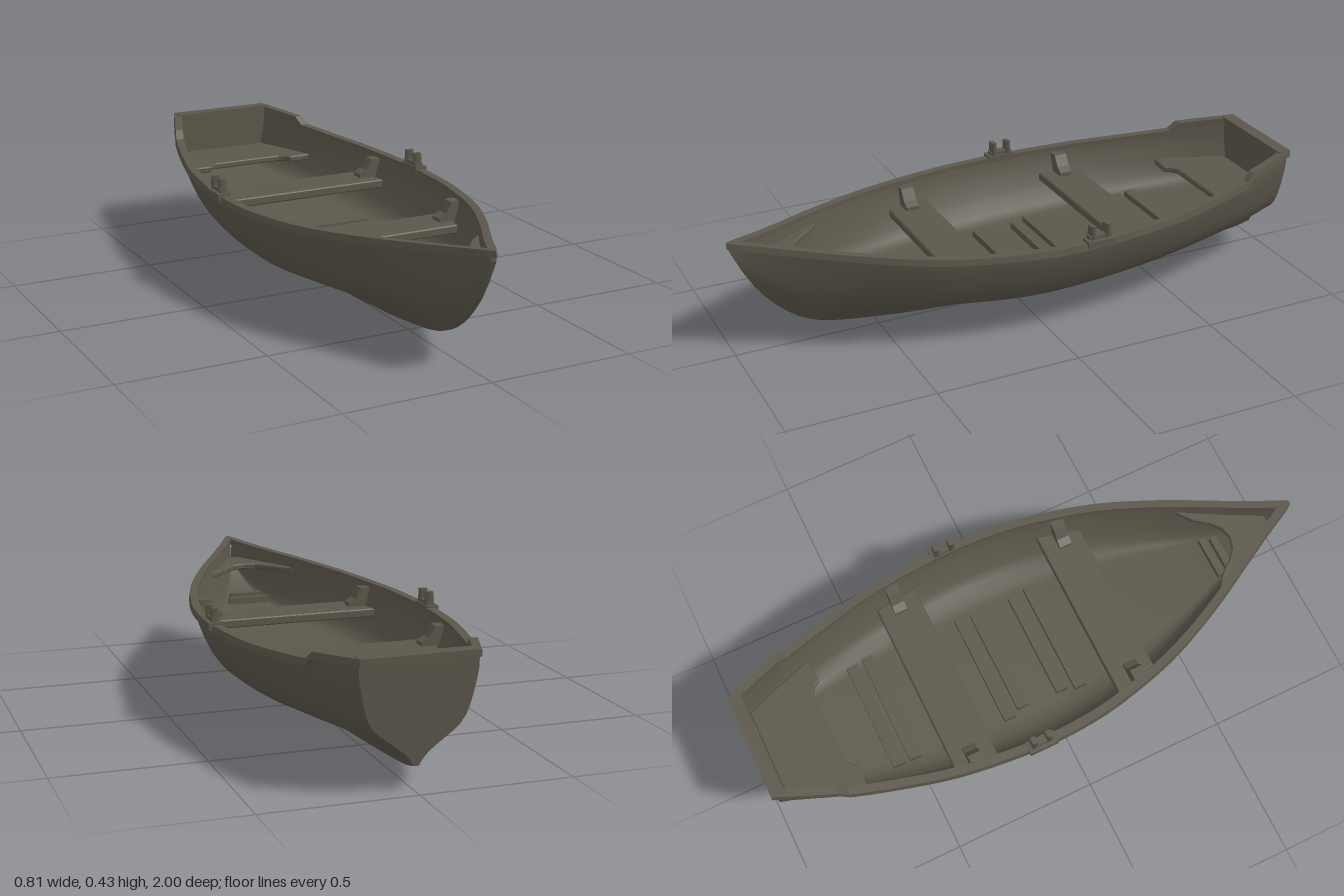
import * as THREE from 'three';
import { toCreasedNormals } from 'three/addons/utils/BufferGeometryUtils.js';

// Smooth interpolation through [z, value] pairs
function smooth(table, z) {
  const n = table.length;
  if (z <= table[0][0]) return table[0][1];
  if (z >= table[n - 1][0]) return table[n - 1][1];
  let i = 0;
  while (z > table[i + 1][0]) i++;
  const slope = (k) => {
    const a = table[Math.max(k - 1, 0)], b = table[Math.min(k + 1, n - 1)];
    return (b[1] - a[1]) / (b[0] - a[0]);
  };
  const [z0, v0] = table[i], [z1, v1] = table[i + 1];
  const d = z1 - z0, t = (z - z0) / d, t2 = t * t, t3 = t2 * t;
  return (2 * t3 - 3 * t2 + 1) * v0 + (t3 - 2 * t2 + t) * d * slope(i)
    + (3 * t2 - 2 * t3) * v1 + (t3 - t2) * d * slope(i + 1);
}

// Plan half-width, sheer and keel heights along the boat
const WIDTH = [[-1, 0.19], [-0.8, 0.268], [-0.6, 0.327], [-0.4, 0.372], [-0.13, 0.397], [0.05, 0.391],
  [0.2, 0.367], [0.4, 0.312], [0.6, 0.224], [0.8, 0.115], [0.9, 0.06], [0.96, 0.03], [0.985, 0.017], [1, 0.006]];
const SHEER = [[-1, 0.4], [-0.77, 0.378], [-0.5, 0.36], [-0.1, 0.348], [0.1, 0.348], [0.4, 0.358], [0.8, 0.389], [1, 0.41]];
const KEEL = [[-1, 0.085], [-0.97, 0.08], [-0.9, 0.065], [-0.5, 0.03], [0, 0], [0.3, 0.014], [0.5, 0.032],
  [0.7, 0.064], [0.8, 0.112], [0.9, 0.21], [0.97, 0.325], [0.99, 0.375]];
// Cross-section rule: [height, midship width, bow width]
const SECTION = [[1, 1, 1], [0.92, 0.99, 0.97], [0.82, 0.965, 0.935], [0.68, 0.915, 0.88], [0.56, 0.86, 0.81],
  [0.47, 0.8, 0.75], [0.38, 0.7, 0.67], [0.32, 0.58, 0.59], [0.26, 0.44, 0.5], [0.2, 0.3, 0.39],
  [0.13, 0.15, 0.26], [0.06, 0.05, 0.13], [0.02, 0.01, 0.04], [0, 0, 0]];
const FLOOR = 0.42;

const width = (z) => smooth(WIDTH, z);
const step = (z) => 0.025 * THREE.MathUtils.clamp((-0.77 - z) / 0.03, 0, 1);
const sheer = (z) => smooth(SHEER, z) + step(z);
const floorAt = (z) => THREE.MathUtils.lerp(smooth(KEEL, z), smooth(SHEER, z), FLOOR);
const stations = (from, to) => {
  const list = [from, -0.77, -0.8, to];
  for (let i = 0; i <= 60; i++) {
    const z = 0.985 - i * 0.0333;
    if (z < from - 0.004 && z > to + 0.005) list.push(z);
  }
  return list.sort((a, b) => b - a);
};

// Full section from left gunwale, under the keel, to right gunwale
function section(z, inner) {
  const keel = smooth(KEEL, z), h = smooth(SHEER, z) - 0.008 - keel;
  const w = Math.max(width(z) - 0.014, 0.01), k = Math.min(0.01, w);
  const bow = THREE.MathUtils.smoothstep(z, 0.25, 0.85);
  const half = SECTION.map(([py, mid, front]) => {
    let x = k + (w - k) * THREE.MathUtils.lerp(mid, front, bow);
    if (inner) x = py === 0 ? 0 : Math.max(0, x - 0.018);
    const y = keel + h * (inner ? Math.max(py, FLOOR) : py) + (py === 1 ? step(z) : 0);
    const rake = !inner && z < -0.96 ? 0.017 * py : 0;
    return [x, y, z - rake];
  });
  return [...half, ...half.map(([x, y, zz]) => [-x, y, zz]).reverse()];
}

// Half-width to the middle of the planking at a given height
function wallX(z, y) {
  const pts = section(z, true);
  let i = 0;
  while (i < SECTION.length - 2 && pts[i + 1][1] > y) i++;
  const [x0, y0] = pts[i], [x1, y1] = pts[i + 1];
  const t = THREE.MathUtils.clamp((y0 - y) / Math.max(y0 - y1, 0.001), 0, 1);
  return x0 + (x1 - x0) * t + 0.006;
}

// Skin over rows of points
function loft(rows, flip = false) {
  const n = rows[0].length, index = [];
  for (let i = 0; i < rows.length - 1; i++) for (let j = 0; j < n - 1; j++) {
    const a = i * n + j, b = a + 1, c = a + n, d = c + 1;
    index.push(...(flip ? [a, c, b, b, c, d] : [a, b, c, b, d, c]));
  }
  const g = new THREE.BufferGeometry();
  g.setAttribute('position', new THREE.Float32BufferAttribute(rows.flat(2), 3));
  g.setIndex(index);
  g.computeVertexNormals();
  return g;
}
const cap = (row, flip) => loft([row, row.map(([, y, z]) => [0, y, z])], flip);

// Flat symmetric board from half an x,z outline, trimmed to the planking
function board(half, y, thickness) {
  const trimmed = half.map(([x, z]) => [Math.min(x, wallX(z, y)), z]);
  const outline = [...trimmed, ...trimmed.filter(([x]) => x > 0).reverse().map(([x, z]) => [-x, z])];
  const shape = new THREE.Shape(outline.map(([x, z]) => new THREE.Vector2(x, -z)));
  return new THREE.ExtrudeGeometry(shape, {
    depth: thickness - 0.008, bevelEnabled: true, bevelThickness: 0.004, bevelSize: 0.004, bevelOffset: -0.004, bevelSegments: 1,
  }).rotateX(-Math.PI / 2).translate(0, y + 0.004, 0);
}

export function createModel() {
  const boat = new THREE.Group();
  boat.name = 'rowingBoat';
  const wood = new THREE.MeshStandardMaterial({ color: 0x5c574b });
  wood.name = 'weatheredWood';
  const add = (name, geometry) => {
    const mesh = new THREE.Mesh(geometry, wood);
    mesh.name = name;
    boat.add(mesh);
  };
  const box = (name, w, h, d, x, y, z) => add(name, new THREE.BoxGeometry(w, h, d).translate(x, y, z));

  // Planked shell and transom
  const outer = stations(0.99, -0.97).map((z) => section(z, false));
  const inner = stations(0.95, -0.958).map((z) => section(z, true));
  add('outerHull', loft(outer));
  add('innerHull', loft(inner, true));
  add('transom', cap(outer[outer.length - 1], false));
  add('innerTransom', cap(inner[inner.length - 1], true));
  add('stem', cap(outer[0], true));

  // Gunwale rail on both sides and across the stern
  for (const s of [1, -1]) {
    const rows = stations(1, -1).map((z) => {
      const w = width(z), i = Math.max(0, w - 0.033), y = sheer(z);
      return [[w - 0.004, y], [w, y - 0.022], [i, y - 0.022], [i, y], [w - 0.004, y]].map(([x, yy]) => [s * Math.max(x, 0), yy, z]);
    });
    add(s > 0 ? 'leftRail' : 'rightRail', toCreasedNormals(loft(rows, s < 0).toNonIndexed(), 0.6));
  }
  box('sternRail', 0.376, 0.023, 0.046, 0, 0.413, -0.977);

  // Thwarts
  add('rearThwart', board([[0.33, -0.42], [0.34, -0.27]], 0.24, 0.03));
  add('frontThwart', board([[0.33, 0.19], [0.32, 0.34]], 0.24, 0.03));

  // Stern and bow seats
  add('sternSeat', board([[0.18, -0.955], [0.23, -0.84], [0.265, -0.705], [0.165, -0.7], [0.15, -0.722], [0.13, -0.735]], 0.255, 0.022));
  add('bowSeat', board([[0, 0.775], [0.04, 0.765], [0.075, 0.735], [0.11, 0.69], [0.145, 0.662],
    [0.19, 0.65], [0.15, 0.72], [0.11, 0.8], [0.06, 0.87], [0.03, 0.92]], 0.32, 0.02));

  // Knees bracing the thwarts against the hull
  for (const s of [1, -1]) for (const z of [-0.37, 0.245]) {
    const end = z < 0 ? z : z + 0.045;
    const foot = wallX(end, 0.255), head = wallX(end, 0.335);
    const outline = [[foot - 0.06, 0.255], [foot - 0.06, 0.283], [foot - 0.035, 0.297], [head - 0.035, 0.335], [head, 0.335], [foot, 0.255]];
    const shape = new THREE.Shape(outline.map(([x, y]) => new THREE.Vector2(s * x, y)));
    add('thwartKnee', new THREE.ExtrudeGeometry(shape, { depth: 0.045, bevelEnabled: false }).translate(0, 0, z));
  }

  // Floor slats
  const slats = [[-0.575, -0.2, 0.19], [-0.515, -0.2, 0.2], [-0.165, -0.21, 0.2], [-0.107, -0.19, 0.185],
    [0.04, -0.195, 0.19], [0.103, -0.21, 0.2], [0.72, -0.075, 0.075], [0.755, -0.06, 0.06]];
  for (const [z, x0, x1] of slats) {
    box('floorSlat', x1 - x0, 0.024, z > 0.5 ? 0.025 : 0.042, (x0 + x1) / 2, floorAt(z) + 0.01, z);
  }

  // Oarlocks: block with two prongs
  for (const s of [1, -1]) {
    box('oarlockBlock', 0.044, 0.024, 0.1, s * 0.382, 0.345, -0.132);
    box('oarlockPad', 0.026, 0.02, 0.08, s * 0.378, 0.36, -0.132);
    for (const z of [-0.106, -0.16]) {
      add('oarlockProng', new THREE.CylinderGeometry(0.017, 0.02, 0.06, 4, 1).rotateY(Math.PI / 4)
        .scale(1.05, 1, 0.7).translate(s * 0.378, 0.373, z).toNonIndexed());
    }
  }
  return boat;
}
